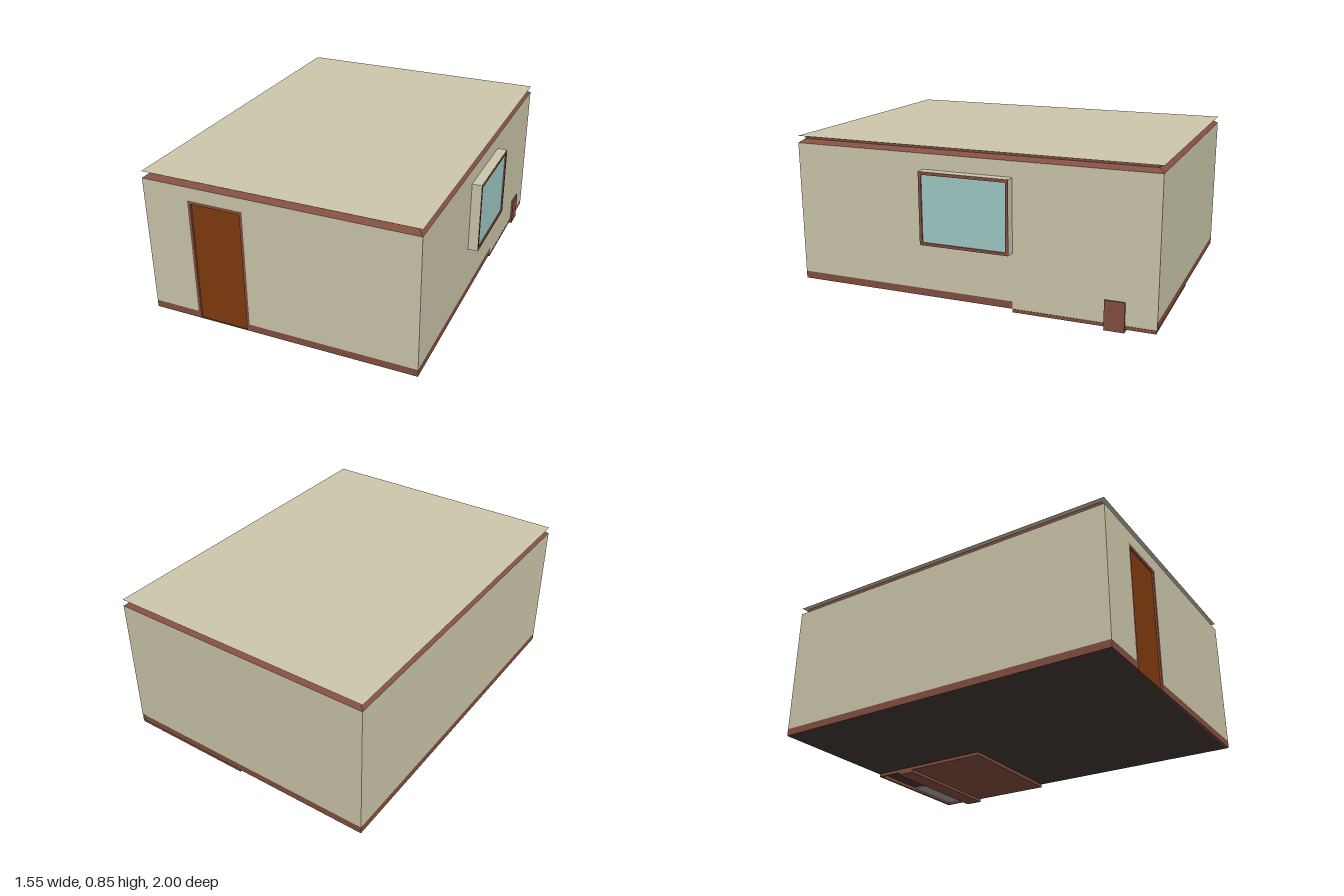
import * as THREE from 'three';

const X0 = -0.775, X1 = 0.72, Z0 = -1, Z1 = 1;      // room outline
const FLOOR = 0.035, BASE = 0.075, WALL = 0.807, TOP = 0.845;

const mat = (color) => new THREE.MeshStandardMaterial({ color, side: THREE.DoubleSide });

export function createModel() {
  const model = new THREE.Group();
  const cream = mat(0xccc7ab), brown = mat(0x844f40), doorBrown = mat(0x803a0e);
  const glass = mat(0xa0cbc7), dark = mat(0x443a34), grey = mat(0xaaaaaa);

  const add = (name, geometry, material, parent = model) => {
    const mesh = new THREE.Mesh(geometry, material);
    mesh.name = name;
    parent.add(mesh);
    return mesh;
  };
  // Box given by its minimum and maximum corners
  const box = (name, material, [ax, ay, az], [bx, by, bz], parent) => {
    const mesh = add(name, new THREE.BoxGeometry(bx - ax, by - ay, bz - az), material, parent);
    mesh.position.set((ax + bx) / 2, (ay + by) / 2, (az + bz) / 2);
    return mesh;
  };
  const polygon = (points) => new THREE.Shape(points.map(([x, y]) => new THREE.Vector2(x, y)));
  const rect = (a, b, c, d) => [[a, b], [c, b], [c, d], [a, d]];

  // Rectangular ring round the room, lofted through [inset, y] steps
  const ring = (steps) => {
    const corners = ([i, y]) => [[X0 + i, y, Z1 - i], [X1 - i, y, Z1 - i], [X1 - i, y, Z0 + i], [X0 + i, y, Z0 + i]];
    const pos = [];
    for (let s = 0; s < steps.length - 1; s++) {
      const lo = corners(steps[s]), hi = corners(steps[s + 1]);
      for (let k = 0; k < 4; k++) {
        const n = (k + 1) % 4;
        pos.push(...lo[k], ...lo[n], ...hi[n], ...lo[k], ...hi[n], ...hi[k]);
      }
    }
    const g = new THREE.BufferGeometry();
    g.setAttribute('position', new THREE.Float32BufferAttribute(pos, 3));
    g.computeVertexNormals();
    return g;
  };

  // Front wall, notched for the doorway
  const dl = -0.515, dr = -0.205, dt = 0.733;
  add('frontWall', new THREE.ShapeGeometry(polygon([
    [X0, BASE], [dl, BASE], [dl, dt], [dr, dt], [dr, BASE], [X1, BASE], [X1, WALL], [X0, WALL],
  ])), cream).position.z = Z1;

  // Window wall, drawn with u = -z, reaching lower beside the platform
  const winU = [-0.245, 0.25], winY = [0.333, 0.724];
  const side = polygon([[-Z1, BASE], [0.25, BASE], [0.25, FLOOR], [-Z0, FLOOR], [-Z0, WALL], [-Z1, WALL]]);
  side.holes.push(polygon(rect(winU[0], winY[0], winU[1], winY[1])));
  const windowWall = add('windowWall', new THREE.ShapeGeometry(side), cream);
  windowWall.rotation.y = Math.PI / 2;
  windowWall.position.x = X1;

  // Plain back and side walls
  const backWall = add('backWall', new THREE.ShapeGeometry(polygon(rect(-X1, BASE, -X0, WALL))), cream);
  backWall.rotation.y = Math.PI;
  backWall.position.z = Z0;
  const plainWall = add('plainSideWall', new THREE.ShapeGeometry(polygon(rect(Z0, BASE, Z1, WALL))), cream);
  plainWall.rotation.y = -Math.PI / 2;
  plainWall.position.x = X0;

  // Floor, ceiling and crown moulding
  const slab = (name, material, y) => {
    const m = add(name, new THREE.PlaneGeometry(X1 - X0, Z1 - Z0), material);
    m.rotation.x = -Math.PI / 2;
    m.position.set((X0 + X1) / 2, y, 0);
  };
  slab('floor', dark, FLOOR);
  slab('ceiling', cream, TOP);
  add('crownMoulding', ring([[0, WALL], [0.028, 0.828], [0.028, TOP]]), brown);

  // Baseboards
  const t = 0.012;
  const baseboards = new THREE.Group();
  baseboards.name = 'baseboards';
  model.add(baseboards);
  box('baseboard', brown, [X0, FLOOR, Z1 - t], [dl, BASE, Z1], baseboards);
  box('baseboard', brown, [dr, FLOOR, Z1 - t], [X1, BASE, Z1], baseboards);
  box('baseboard', brown, [X0, FLOOR, Z0], [X1 - t, BASE, Z0 + t], baseboards);
  box('baseboard', brown, [X0, FLOOR, Z0 + t], [X0 + t, BASE, Z1 - t], baseboards);
  box('baseboard', brown, [X1 - t, FLOOR, -0.25], [X1, BASE, Z1 - t], baseboards);

  // Door and its frame
  const frame = polygon([
    [dl, FLOOR], [dl + 0.016, FLOOR], [dl + 0.016, dt - 0.018], [dr - 0.016, dt - 0.018],
    [dr - 0.016, FLOOR], [dr, FLOOR], [dr, dt], [dl, dt],
  ]);
  add('doorFrame', new THREE.ExtrudeGeometry(frame, { depth: 0.03, bevelEnabled: false }), brown).position.z = Z1 - 0.03;
  box('door', doorBrown, [dl + 0.016, FLOOR, Z1 - 0.025], [dr - 0.016, dt - 0.018, Z1 - 0.01]);

  // Projecting window: cream surround, brown frame, glass pane
  const windowPart = (name, material, b, depth, x) => {
    const s = polygon(rect(winU[0] + b[0], winY[0] + b[0], winU[1] - b[0], winY[1] - b[0]));
    s.holes.push(polygon(rect(winU[0] + b[1], winY[0] + b[1], winU[1] - b[1], winY[1] - b[1])));
    const m = add(name, new THREE.ExtrudeGeometry(s, { depth, bevelEnabled: false }), material);
    m.rotation.y = Math.PI / 2;
    m.position.x = x;
  };
  windowPart('windowSurround', cream, [0, 0.004], 0.052, X1);
  windowPart('windowFrame', brown, [0.001, 0.016], 0.012, X1 + 0.043);
  box('windowGlass', glass, [X1 + 0.042, winY[0] + 0.015, -winU[1] + 0.015], [X1 + 0.048, winY[1] - 0.015, -winU[0] - 0.015]);

  // Low platform under the back corner, open at its far end
  const platform = new THREE.Group();
  platform.name = 'platform';
  model.add(platform);
  const lo = 0.016;
  box('platformBoard', brown, [0, lo, -0.74], [X1, FLOOR - 0.001, -0.25], platform);
  box('platformRim', brown, [0, lo, -0.995], [X1, FLOOR - 0.001, -0.98], platform);
  for (const x of [0, X1 - 0.012]) {
    box('platformRim', brown, [x, lo, -0.98], [x + 0.012, FLOOR - 0.001, -0.74], platform);
  }
  box('platformInset', grey, [0.33, 0.028, -0.98], [X1 - 0.012, FLOOR - 0.001, -0.84], platform);

  // Strap: crossbar below the platform with an upright against the wall
  box('crossbar', brown, [0, 0, -0.84], [X1 + 0.01, lo, -0.735], platform);
  box('upright', brown, [X1 - 0.002, lo, -0.84], [X1 + 0.01, 0.157, -0.735], platform);

  return model;
}
